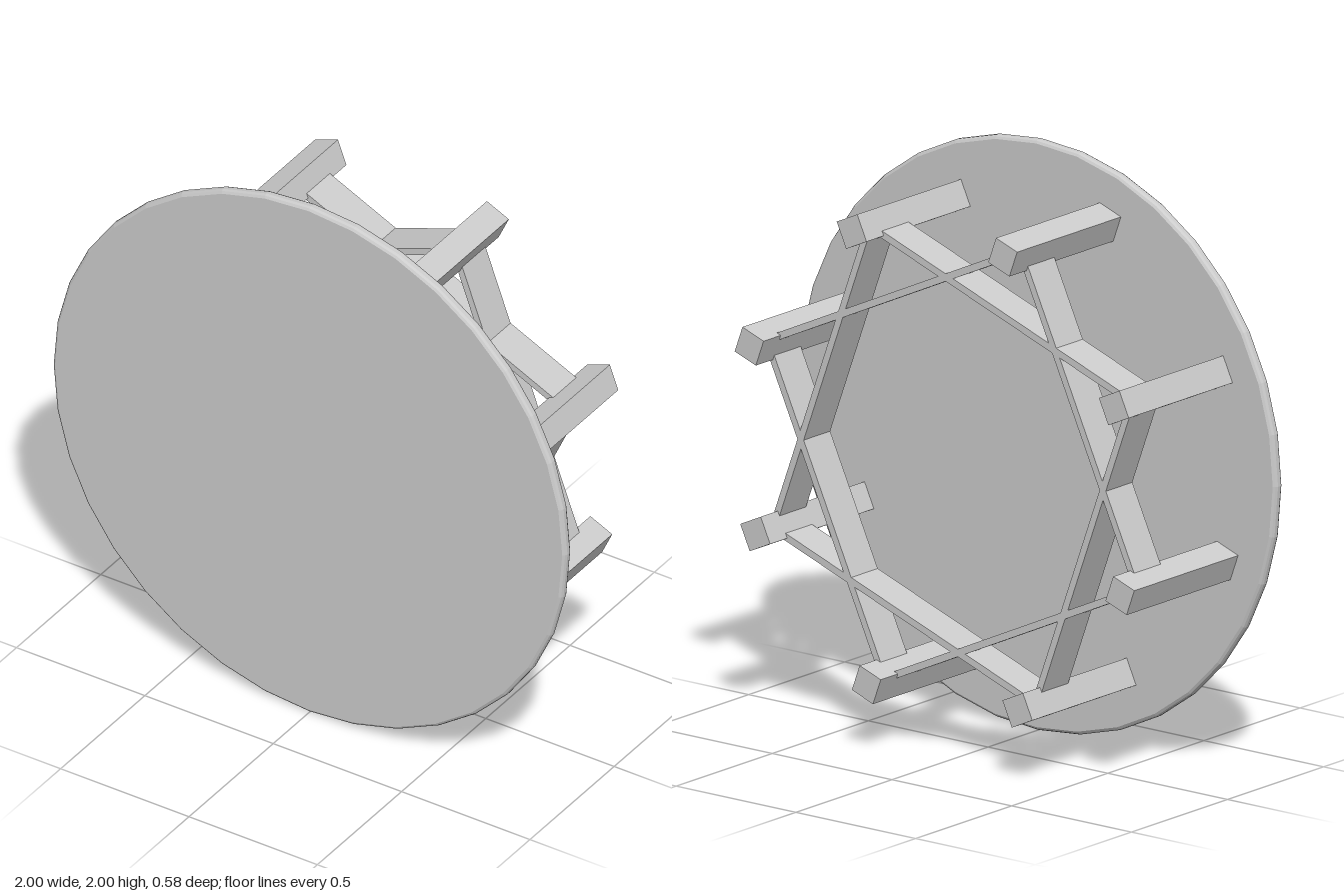
import * as THREE from 'three';

const COUNT = 8;               // legs and braces
const START = THREE.MathUtils.degToRad(20.2);
const LEG_RADIUS = 0.825;
const LEG_SIZE = 0.094;

export function createModel() {
  const model = new THREE.Group();
  model.name = 'table';
  const material = new THREE.MeshStandardMaterial({ color: 0xcccccc, flatShading: true });

  // Round top with softened rim, standing on edge and facing +z
  const profile = [
    [0, -0.02], [0.988, -0.02], [0.996, -0.015], [1, -0.007],
    [1, 0.007], [0.996, 0.015], [0.988, 0.02], [0, 0.02],
  ].map(([r, h]) => new THREE.Vector2(r, h));
  const top = new THREE.Mesh(new THREE.LatheGeometry(profile, 36), material);
  top.name = 'tableTop';
  top.rotation.x = Math.PI / 2;
  top.position.set(0, 1, 0.27);
  model.add(top);

  // Underframe, a ring of legs joined by a star of braces
  const frame = new THREE.Group();
  frame.name = 'underframe';
  frame.position.set(-0.009, 1, 0);
  model.add(frame);

  const addRadial = (name, geometry, radius, angle, z) => {
    const mesh = new THREE.Mesh(geometry, material);
    mesh.name = name;
    mesh.position.set(radius * Math.cos(angle), radius * Math.sin(angle), z);
    mesh.rotation.z = angle;
    frame.add(mesh);
  };

  const legGeometry = new THREE.BoxGeometry(LEG_SIZE, LEG_SIZE, 0.54);
  const braceGeometry = new THREE.BoxGeometry(0.024, LEG_RADIUS * Math.SQRT2 - 0.04, 0.138);
  for (let i = 0; i < COUNT; i++) {
    const angle = START + (i / COUNT) * Math.PI * 2;
    addRadial('leg', legGeometry, LEG_RADIUS, angle, -0.02);
    // Each brace spans two legs, skipping the one between them
    addRadial('brace', braceGeometry, LEG_RADIUS * Math.SQRT1_2, angle, -0.132);
  }
  return model;
}
